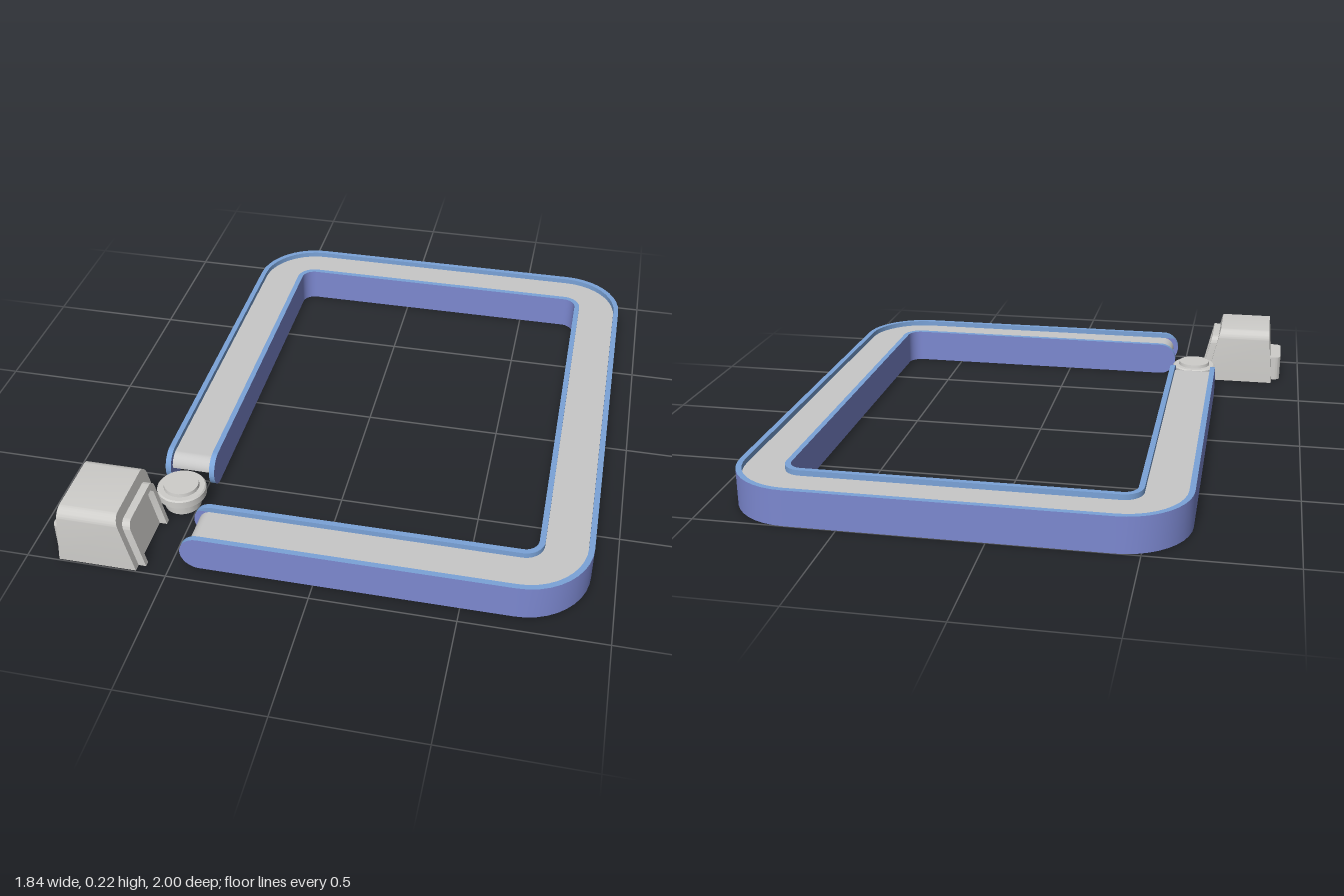
import * as THREE from 'three';
import { toCreasedNormals } from 'three/addons/utils/BufferGeometryUtils.js';

const material = (name, color) => {
  const m = new THREE.MeshStandardMaterial({ color, side: THREE.DoubleSide });
  m.name = name;
  return m;
};

// Samples of the open loop: corner-centre line, outward normal and rounded-end height
function trackSamples(endRadius, inset) {
  const out = [];
  const x0 = -0.415, x1 = 0.68, z0 = -0.765, z1 = 0.705;
  const startZ = 0.545 - inset, endX = -0.465 + inset, steps = 10;
  for (let i = 0; i <= steps; i++) {
    const a = (i / steps) * Math.PI / 2;
    out.push({ x: x0, z: startZ - endRadius * (1 - Math.cos(a)), nx: -1, nz: 0, h: endRadius * Math.sin(a) });
  }
  [[x0, z0], [x1, z0], [x1, z1]].forEach(([x, z], corner) => {
    for (let i = 0; i <= steps; i++) {
      const a = Math.PI + (corner + i / steps) * Math.PI / 2;
      out.push({ x, z, nx: Math.cos(a), nz: Math.sin(a), h: endRadius });
    }
  });
  for (let i = steps; i >= 0; i--) {
    const a = (i / steps) * Math.PI / 2;
    out.push({ x: endX + endRadius * (1 - Math.cos(a)), z: z1, nx: 0, nz: 1, h: endRadius * Math.sin(a) });
  }
  return out;
}

// Ribbon between two edges, each given as sample -> [offset, y]
function ribbon(samples, edgeA, edgeB) {
  const pos = [], index = [];
  samples.forEach((s, i) => {
    for (const edge of [edgeA, edgeB]) {
      const [r, y] = edge(s);
      pos.push(s.x + s.nx * r, y, s.z + s.nz * r);
    }
    if (i > 0) {
      const k = 2 * (i - 1);
      index.push(k, k + 2, k + 3, k, k + 3, k + 1);
    }
  });
  const g = new THREE.BufferGeometry();
  g.setAttribute('position', new THREE.Float32BufferAttribute(pos, 3));
  g.setIndex(index);
  g.computeVertexNormals();
  return g;
}

// Arch outline standing on y = 0 with rounded top corners
function archPoints(path, halfWidth, height, r) {
  path.moveTo(-halfWidth, 0);
  path.lineTo(halfWidth, 0);
  path.lineTo(halfWidth, height - r);
  path.absarc(halfWidth - r, height - r, r, 0, Math.PI / 2, false);
  path.absarc(-halfWidth + r, height - r, r, Math.PI / 2, Math.PI, false);
  path.closePath();
  return path;
}

// Extrude an outline along x, with both ends slanted by height
function slantedExtrude(shape, z, xStart, xEnd) {
  const g = new THREE.ExtrudeGeometry(shape, { depth: 1, bevelEnabled: false, curveSegments: 8 });
  g.rotateY(Math.PI / 2);
  const p = g.attributes.position;
  for (let i = 0; i < p.count; i++) {
    const y = p.getY(i);
    p.setXYZ(i, THREE.MathUtils.lerp(xStart(y), xEnd(y), p.getX(i)), y, p.getZ(i) + z);
  }
  return toCreasedNormals(g, 0.6);
}

export function createModel() {
  const model = new THREE.Group();
  model.name = 'conveyorLoop';
  const railBlue = material('railBlue', 0x7c88d0);
  const edgeBlue = material('edgeBlue', 0x7aa3d8);
  const beltGrey = material('beltGrey', 0xc8c8c8);
  const metalGrey = material('metalGrey', 0xcecdca);
  const add = (parent, name, geometry, mat) => {
    const m = new THREE.Mesh(geometry, mat);
    m.name = name;
    parent.add(m);
    return m;
  };

  // Side rails with half-round ends
  const mid = 0.065, beltTop = 0.11, thick = 0.02;
  const rail = trackSamples(mid, 0);
  const top = (s) => mid + s.h, bottom = (s) => mid - s.h;
  const lip = (s) => Math.min(top(s), beltTop);
  for (const [name, r0, r1, beltInside] of [
    ['outerRail', 0.235 - thick, 0.235, true],
    ['innerRail', 0.05, 0.05 + thick, false],
  ]) {
    const g = new THREE.Group();
    g.name = name;
    model.add(g);
    const at = (r, y) => (s) => [r, y(s)];
    add(g, 'topEdge', ribbon(rail, at(r0, top), at(r1, top)), edgeBlue);
    add(g, 'bottomEdge', ribbon(rail, at(r1, bottom), at(r0, bottom)), edgeBlue);
    if (beltInside) {
      add(g, 'outsideFace', ribbon(rail, at(r1, top), at(r1, bottom)), railBlue);
      add(g, 'beltSideFace', ribbon(rail, at(r0, bottom), at(r0, lip)), railBlue);
      add(g, 'beltSideLip', ribbon(rail, at(r0, lip), at(r0, top)), edgeBlue);
    } else {
      add(g, 'insideFace', ribbon(rail, at(r0, bottom), at(r0, top)), railBlue);
      add(g, 'beltSideFace', ribbon(rail, at(r1, lip), at(r1, bottom)), railBlue);
      add(g, 'beltSideLip', ribbon(rail, at(r1, top), at(r1, lip)), edgeBlue);
    }
  }

  // Belt sheet that curls down at both ends
  const belt = trackSamples(beltTop - mid, 0.02);
  add(model, 'belt', ribbon(belt, (s) => [0.07, mid + s.h], (s) => [0.215, mid + s.h]), beltGrey);

  // Turntable disc at the open corner
  const discProfile = [
    [0, 0.03], [0.05, 0.03], [0.055, 0.01], [0.065, 0.01], [0.067, 0.05], [0.088, 0.058],
    [0.088, 0.085], [0.083, 0.09], [0.064, 0.09], [0.062, 0.103], [0, 0.103],
  ].map(([x, y]) => new THREE.Vector2(x, y));
  const disc = add(model, 'cornerDisc',
    toCreasedNormals(new THREE.LatheGeometry(discProfile, 40), 0.5), metalGrey);
  disc.position.set(-0.555, 0, 0.64);

  // Machine housing with sloping ends
  const machine = new THREE.Group();
  machine.name = 'machine';
  model.add(machine);
  const zc = 0.85;
  const backX = (y) => -0.885 + 0.09 * y;
  const faceX = (y) => -0.607 - 0.235 * y;
  add(machine, 'housing',
    slantedExtrude(archPoints(new THREE.Shape(), 0.145, 0.225, 0.04), zc, backX, faceX), metalGrey);

  // Arched frame standing out around the mouth
  const frame = new THREE.Shape();
  frame.moveTo(-0.118, 0);
  frame.lineTo(-0.098, 0);
  frame.lineTo(-0.098, 0.145);
  frame.absarc(-0.078, 0.145, 0.02, Math.PI, Math.PI / 2, true);
  frame.absarc(0.078, 0.145, 0.02, Math.PI / 2, 0, true);
  frame.lineTo(0.098, 0);
  frame.lineTo(0.118, 0);
  frame.lineTo(0.118, 0.155);
  frame.absarc(0.088, 0.155, 0.03, 0, Math.PI / 2, false);
  frame.absarc(-0.088, 0.155, 0.03, Math.PI / 2, Math.PI, false);
  frame.closePath();
  add(machine, 'mouthFrame',
    slantedExtrude(frame, zc, (y) => faceX(y) - 0.01, (y) => faceX(y) + 0.027), metalGrey);

  // Rounded block on the back of the housing
  const block = new THREE.Shape();
  block.moveTo(-0.87, -0.095);
  block.lineTo(-0.87, 0.095);
  block.lineTo(-0.895, 0.095);
  block.absarc(-0.895, 0.07, 0.025, Math.PI / 2, Math.PI, false);
  block.absarc(-0.895, -0.07, 0.025, Math.PI, Math.PI * 1.5, false);
  block.closePath();
  const blockGeometry = new THREE.ExtrudeGeometry(block, { depth: 0.1, bevelEnabled: false, curveSegments: 6 });
  blockGeometry.rotateX(-Math.PI / 2);
  add(machine, 'backBlock', toCreasedNormals(blockGeometry, 0.6), metalGrey).position.z = zc;

  return model;
}
